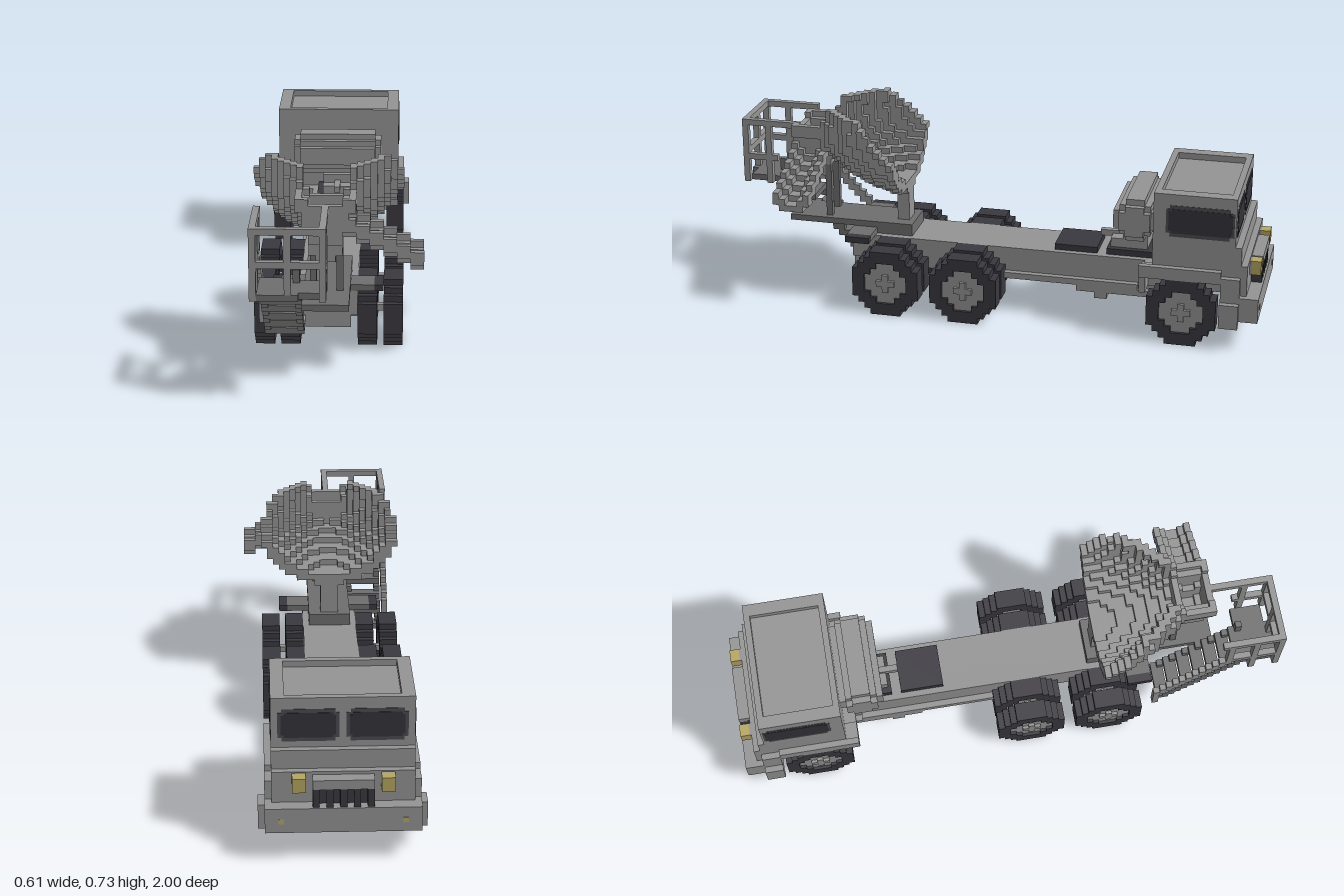
import * as THREE from 'three';
import { mergeGeometries } from 'three/addons/utils/BufferGeometryUtils.js';

// One block of the grid; i runs along x from 0 to 27, j up from 0, k along z from 0 to 88
const V = 1 / 44;
const MID = 12.5; // truck centre line along i

const material = (name, color) => {
  const m = new THREE.MeshStandardMaterial({ color });
  m.name = name;
  return m;
};

function block([i0, i1, j0, j1, k0, k1]) {
  const g = new THREE.BoxGeometry((i1 - i0) * V, (j1 - j0) * V, (k1 - k0) * V);
  return g.translate(((i0 + i1) / 2 - 13.5) * V, (j0 + j1) / 2 * V, ((k0 + k1) / 2 - 44) * V);
}

const mirror = (list) => list.concat(list.map(([a, b, ...r]) => [2 * MID - b, 2 * MID - a, ...r]));

// Fills every cell of a region that passes a test, joining neighbours along i
function fill([i0, i1, j0, j1, k0, k1], test) {
  const out = [];
  for (let k = k0; k < k1; k++) for (let j = j0; j < j1; j++) {
    let start = null;
    for (let i = i0; i <= i1; i++) {
      const on = i < i1 && test(i + 0.5, j + 0.5, k + 0.5);
      if (on && start === null) start = i;
      if (!on && start !== null) { out.push([start, i, j, j + 1, k, k + 1]); start = null; }
    }
  }
  return out;
}

export function createModel() {
  const root = new THREE.Group();
  root.name = 'mixerTruck';
  const grey = material('body grey', 0x969696);
  const dark = material('step grey', 0x707070);
  const rubber = material('tyre black', 0x3b3940);
  const glass = material('window glass', 0x35343a);
  const trim = material('window frame', 0x4d4d52);
  const yellow = material('lamp yellow', 0xb8a863);

  const part = (name, mat, list) => {
    const mesh = new THREE.Mesh(mergeGeometries(list.map(block)), mat);
    mesh.name = name;
    root.add(mesh);
  };

  // Wheels: stepped octagonal tyre around a recessed hub with a raised cross
  const tyreHalf = [2.5, 3.5, 4.5, 5.5, 5.5, 5.5, 5.5, 5.5, 4.5, 3.5, 2.5];
  const hubHalf = [0, 0, 1.5, 2.5, 3.5, 3.5, 3.5, 2.5, 1.5, 0, 0];
  function wheel(i, kc, outward, name) {
    const tyre = [], hub = [];
    tyreHalf.forEach((w, j) => {
      const h = hubHalf[j];
      if (h) {
        tyre.push([i, i + 3, j, j + 1, kc - w, kc - h], [i, i + 3, j, j + 1, kc + h, kc + w]);
        hub.push([i + 0.5, i + 2.5, j, j + 1, kc - h, kc + h]);
      } else tyre.push([i, i + 3, j, j + 1, kc - w, kc + w]);
    });
    const a = outward > 0 ? i + 2.5 : i;
    hub.push([a, a + 0.5, 4, 7, kc - 0.5, kc + 0.5], [a, a + 0.5, 5, 6, kc - 1.5, kc + 1.5]);
    part(name + 'Tyre', rubber, tyre);
    part(name + 'Hub', grey, hub);
  }
  for (const kc of [12.1, 47.5, 60.5]) {
    wheel(21, kc, 1, 'outerLeft');
    wheel(1, kc, -1, 'outerRight');
    if (kc > 20) { wheel(17, kc, 1, 'innerLeft'); wheel(5, kc, -1, 'innerRight'); }
    part('axle', grey, [[3, 22, 5, 6, kc - 0.5, kc + 0.5], [10, 15, 4, 7, kc - 2.5, kc + 2.5]]);
  }

  // Chassis: deck with side rails and hanging brackets
  part('chassis', grey, [
    [8, 17, 7, 11, 3, 68],
    ...mirror([[8, 9, 6, 7, 17, 66], [7, 8, 6, 7, 20, 42], [7, 9, 4, 6, 25, 27], [7, 9, 5, 6, 18, 30]]),
    [9, 16, 5, 7, 66, 68],
  ]);
  part('rearPlates', dark, [[9, 10, 9, 11, 68, 68.2], [11, 13.2, 9, 10.2, 68, 68.2]]);
  part('deckBoxes', rubber, [
    [9, 16, 11, 12, 27, 34], [9, 16, 11, 12, 18, 25.5], [9, 16, 11, 12, 64, 68],
    ...mirror([[19.6, 21, 11, 12, 64, 68]]),
  ]);

  // Cab: stepped nose, sunken roof, side panels, wheel arches and rear skirts
  part('cab', grey, [
    [2, 23, 11, 24, 4, 17],
    [2, 23, 24, 25, 4, 5], [2, 23, 24, 25, 16, 17], [2, 4, 24, 25, 5, 16], [21, 23, 24, 25, 5, 16],
    [2, 23, 9, 17, 3, 4], [2, 23, 9, 14, 2, 3],
    [2, 23, 5, 11, 3, 6], [5, 20, 8, 11, 6, 19],
    ...mirror([[1, 2, 11, 13, 6, 19], [1, 2, 5, 12, 3, 6], [2, 5, 11, 12, 17, 19], [2, 5, 8, 11, 18, 19]]),
  ]);
  part('bumper', grey, [[1, 24, 5, 9, 0, 3], ...mirror([[0, 1, 4, 8, 3, 6]])]);

  // Windows: layered thin plates with clipped corners
  const T = 0.06;
  const frame = [], pane = [];
  for (const [a, b] of [[3, 12], [13, 22]]) {
    frame.push([a, b, 18.6, 22.6, 4 - T, 4], [a + 0.6, b - 0.6, 18, 23.2, 4 - T, 4]);
    pane.push([a + 0.9, b - 0.9, 18.6, 22.6, 4 - 2 * T, 4 - T], [a + 0.5, b - 0.5, 19, 22.2, 4 - 2 * T, 4 - T]);
  }
  frame.push(...mirror([[2 - T, 2, 18.6, 22.6, 4.3, 15], [2 - T, 2, 18, 23.2, 5, 14.4]]));
  pane.push(...mirror([[2 - 2 * T, 2 - T, 18.6, 22.6, 5, 14.2], [2 - 2 * T, 2 - T, 19, 22.2, 4.6, 14.6]]));
  part('windowFrames', trim, frame);
  part('windowGlass', glass, pane);

  // Grille with standing slats under a hood, headlamps and small bumper lamps
  part('grille', rubber, [[8, 17, 9, 12.5, 1.5, 2]].concat(
    [8, 10, 12, 14, 16].map((i) => [i, i + 1, 9, 12, 0.3, 1.5])));
  part('grilleHood', grey, [[8, 17, 12, 13.5, 0.2, 2]]);
  part('lamps', yellow, mirror([[5, 7, 11.5, 13.8, 0.2, 1.7], [3, 3.8, 6.5, 7.3, -0.1, 0]]));
  part('lampHousings', grey, mirror([[5, 7, 11.5, 13.8, 1.7, 2]]));

  // Water tank behind the cab
  part('waterTank', grey, [
    ...[1.5, 2.5, 3.5, 3.5, 3.5, 2.5, 1.5].map((w, j) => [6, 19, 15 + j, 16 + j, 20.5 - w, 20.5 + w]),
    ...[1.5, 2.5, 2.5, 2.5, 1.5].map((w, j) => [5, 20, 16 + j, 17 + j, 20.5 - w, 20.5 + w]),
    [10, 15, 12, 15, 19, 23],
    [12, 13, 13, 14, 23, 27], [10, 15, 12, 13.5, 23, 25], [8, 17, 16, 20, 16, 18],
  ]);

  // Open drum: lower shell of a cone that narrows to the rear, its upper sides left as two lobes
  part('drum', grey, fill([0, 25, 16, 32, 59, 73], (i, j, k) => {
    const d = k - 59;
    const r = 12.3 - 0.26 * d - 0.0235 * d * d;
    const dist = Math.hypot(i - MID, j - (30.5 - 0.18 * d));
    const open = j > 28 && Math.abs(i - MID) < (j > 29 ? 3.5 : 2.5);
    return dist <= r && dist > r - 1.6 && j < 26 + 0.85 * d && !open;
  }));

  // Drum stand on its platform
  part('platform', dark, [[9, 16, 12, 13, 58, 79], [9, 16, 11, 12, 58, 64],
    ...mirror([[16, 19.6, 11, 12, 64, 68]])]);
  part('drumPost', grey, [[11, 14, 13, 20, 59, 61]]);
  part('rearPosts', dark, mirror([[10, 11, 13, 24, 72, 73]]));

  // Hopper funnel and the chute sloping out to the left side
  part('hopper', grey, fill([8, 17, 19, 29, 72, 78], (i, j, k) => {
    const w = 1.8 + (j - 19) * 0.26;
    const di = Math.abs(i - MID), dk = Math.abs(k - 75);
    const depth = Math.min(w, 3);
    if (j > 28 && di < 2.5) return false;
    return di <= w && dk <= depth && !(di < w - 1.2 && dk < depth - 1.2 && j > 21);
  }));
  part('chute', grey, fill([14, 27, 17, 27, 72, 78], (i, j, k) => {
    const floor = Math.min(23, 18 + Math.floor((27 - i) / 2));
    if (j < floor || j > floor + 3) return false;
    return k < 73 || k > 77 ? j > floor + 1 : j < floor + 1 || (j < floor + 2 && (k < 74 || k > 76));
  }));

  // Sloping ladder with a landing
  const ladder = [];
  for (let j = 5; j < 18; j++) {
    const k = 65 + j;
    ladder.push([3, 4, j, j + 1, k - 1, k + 1], [8, 9, j, j + 1, k - 1, k + 1]);
    if (j % 2) ladder.push([4, 8, j, j + 1, k - 1, k + 1]);
  }
  ladder.push([3, 9, 17, 18, 82, 88], [9, 12, 17, 18, 82, 87], [8, 9, 18, 20, 82, 83]);
  part('ladder', dark, ladder);

  // Guard rails: top loop, middle bars, posts and a stepped handrail
  const rails = [
    [2, 3, 27, 28, 78, 88], [2, 13, 27, 28, 87, 88], [12, 13, 27, 28, 78, 88],
    [2, 3, 21, 22, 80, 88], [2, 13, 22, 23, 87, 88], [12, 13, 21, 22, 82, 88],
  ];
  for (const i of [2, 12]) for (const k of [83, 87]) rails.push([i, i + 1, 17, 28, k, k + 1]);
  rails.push([2, 3, 20, 28, 79, 80], [7, 8, 18, 27, 87, 88]);
  for (let n = 0; n < 12; n++) rails.push([2, 3, 10 + n, 11 + n, 68 + n, 70 + n]);
  rails.push([2, 3, 6, 11, 68, 69]);
  part('guardRails', grey, rails);

  return root;
}
